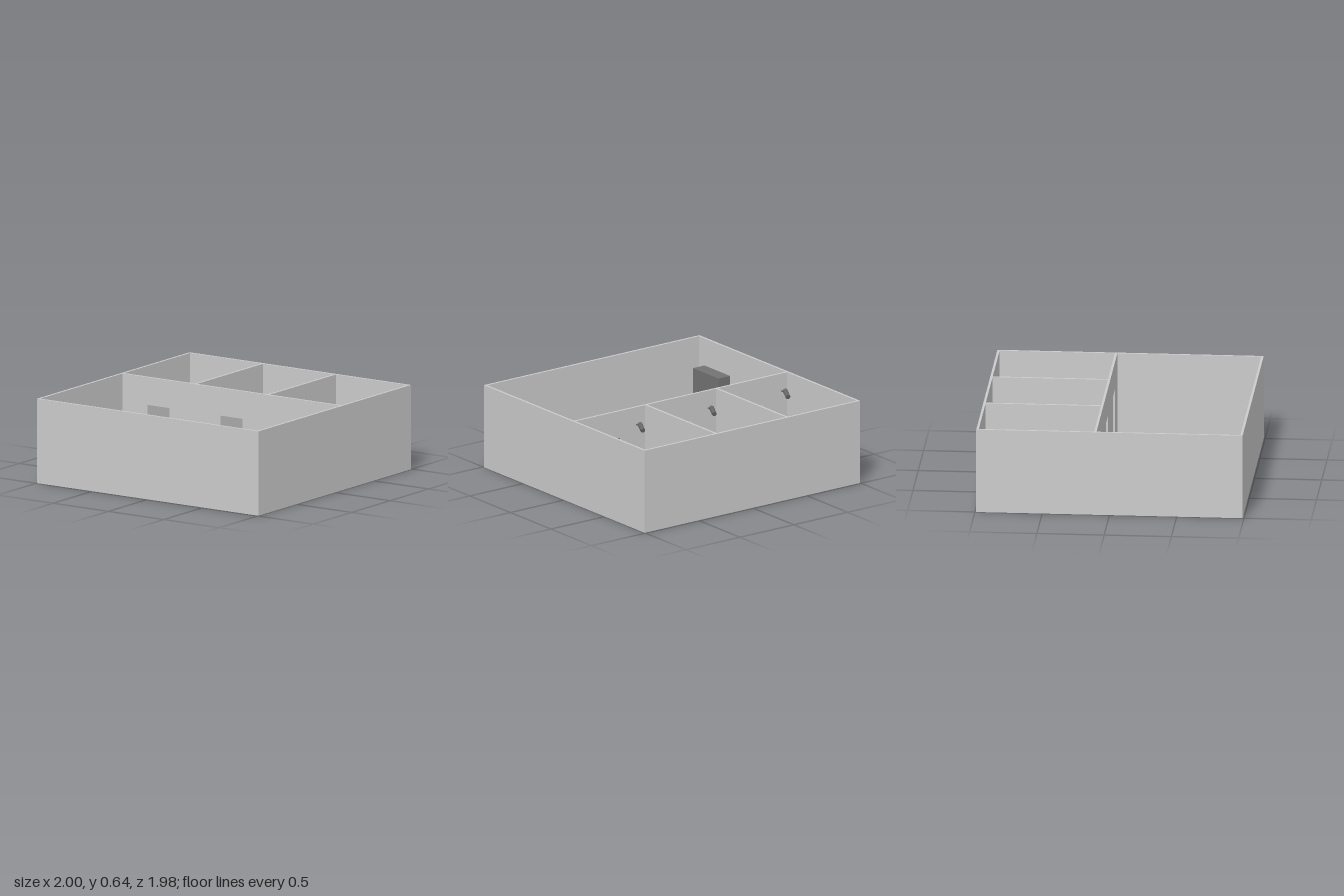
import * as THREE from 'three';

const W = 2, D = 1.98, H = 0.64, T = 0.018, FLOOR = 0.01;
const ROOM_X = [-0.66, -0.006, 0.656];

const mat = (color) => new THREE.MeshStandardMaterial({ color });
const wallMat = mat(0xcccccc), deskMat = mat(0x808080), darkMat = mat(0x666666);
const cabinetMat = mat(0x737373), clothMat = mat(0xadadad);

function add(parent, name, geometry, material, x = 0, y = 0, z = 0) {
  const mesh = new THREE.Mesh(geometry, material);
  mesh.name = name;
  mesh.position.set(x, y, z);
  parent.add(mesh);
  return mesh;
}

// box standing on height y
const box = (parent, name, w, h, d, material, x, y, z) =>
  add(parent, name, new THREE.BoxGeometry(w, h, d), material, x, y + h / 2, z);

function group(parent, name, x = 0, y = 0, z = 0) {
  const g = new THREE.Group();
  g.name = name;
  g.position.set(x, y, z);
  parent.add(g);
  return g;
}

function fourLegs(parent, w, d, h, t, material) {
  for (const sx of [-1, 1]) for (const sz of [-1, 1])
    box(parent, 'leg', t, h, t, material, sx * (w - t) / 2, 0, sz * (d - t) / 2);
}

// rectangular ring lying flat, rising from y = 0
function frameGeometry(w, d, t, h) {
  const rect = (p, a, b) => p.moveTo(-a, -b).lineTo(a, -b).lineTo(a, b).lineTo(-a, b).closePath();
  const shape = rect(new THREE.Shape(), w / 2, d / 2);
  shape.holes.push(rect(new THREE.Path(), w / 2 - t, d / 2 - t));
  return new THREE.ExtrudeGeometry(shape, { depth: h, bevelEnabled: false }).rotateX(-Math.PI / 2);
}

// partition wall with a doorway into every room
function partitionGeometry() {
  const half = W / 2 - T, doorHalf = 0.1, doorTop = 0.43;
  const s = new THREE.Shape().moveTo(-half, FLOOR);
  for (const x of [-0.66, 0, 0.655])
    s.lineTo(x - doorHalf, FLOOR).lineTo(x - doorHalf, doorTop)
      .lineTo(x + doorHalf, doorTop).lineTo(x + doorHalf, FLOOR);
  s.lineTo(half, FLOOR).lineTo(half, H).lineTo(-half, H).closePath();
  return new THREE.ExtrudeGeometry(s, { depth: T, bevelEnabled: false });
}

// chair with its backrest on the +z side
function chair(parent, x, z, turn) {
  const g = group(parent, 'chair', x, FLOOR, z);
  g.rotation.y = turn;
  fourLegs(g, 0.075, 0.085, 0.09, 0.01, deskMat);
  box(g, 'seat', 0.075, 0.012, 0.088, deskMat, 0, 0.085, 0);
  const back = box(g, 'backrest', 0.075, 0.09, 0.012, deskMat, 0, 0.095, 0.034);
  back.rotation.x = 0.1;
}

function desk(parent, x, z) {
  const g = group(parent, 'desk', x, FLOOR, z);
  fourLegs(g, 0.24, 0.115, 0.14, 0.012, deskMat);
  box(g, 'deskTop', 0.252, 0.012, 0.126, deskMat, 0, 0.14, 0);
}

// wall camera: arm from the partition and a tilted, turned barrel
function wallCamera(parent, x) {
  const g = group(parent, 'wallCamera', x, 0.5, -0.18);
  const arm = add(g, 'arm', new THREE.CylinderGeometry(0.005, 0.005, 0.04, 10), darkMat, -0.004, 0.005, 0.045);
  arm.rotation.x = Math.PI / 2;
  const barrel = group(g, 'barrel');
  barrel.rotation.set(0.3, -0.37, 0, 'YXZ');
  barrel.rotation.x = -0.3;
  const body = add(barrel, 'body', new THREE.CylinderGeometry(0.018, 0.018, 0.085, 16), darkMat);
  body.rotation.x = Math.PI / 2;
  const lens = add(barrel, 'lens', new THREE.CylinderGeometry(0.012, 0.014, 0.008, 16), darkMat, 0, 0, -0.045);
  lens.rotation.x = Math.PI / 2;
}

export function createModel() {
  const model = new THREE.Group();
  model.name = 'building';

  // shell
  box(model, 'floor', W, FLOOR, D, wallMat, 0, 0, 0);
  add(model, 'outerWalls', frameGeometry(W, D, T, H - FLOOR), wallMat, 0, FLOOR, 0);
  add(model, 'partitionWall', partitionGeometry(), wallMat, 0, 0, -0.115);
  for (const x of [-0.332, 0.326])
    box(model, 'roomDivider', T, H - FLOOR, D / 2 - T - 0.115, wallMat, x, FLOOR, (-D / 2 + T - 0.115) / 2);

  // back rooms
  ROOM_X.forEach((x, i) => {
    const room = group(model, 'roomFurniture');
    desk(room, x, -0.604);
    chair(room, x, -0.463, 0);
    chair(room, x, -0.687, Math.PI);
    wallCamera(room, [-0.927, -0.243, 0.42][i]);
  });

  // hall table with a raised rim
  const table = group(model, 'hallTable', -0.003, FLOOR, 0.426);
  fourLegs(table, 0.41, 0.25, 0.13, 0.025, darkMat);
  box(table, 'tableSurface', 0.4, 0.02, 0.24, clothMat, 0, 0.125, 0);
  add(table, 'tableRim', frameGeometry(0.424, 0.264, 0.015, 0.035), darkMat, 0, 0.12, 0);

  // tall cabinet against the right wall
  box(model, 'cabinet', 0.107, 0.42, 0.317, cabinetMat, -0.928, FLOOR, 0.745);

  return model;
}
